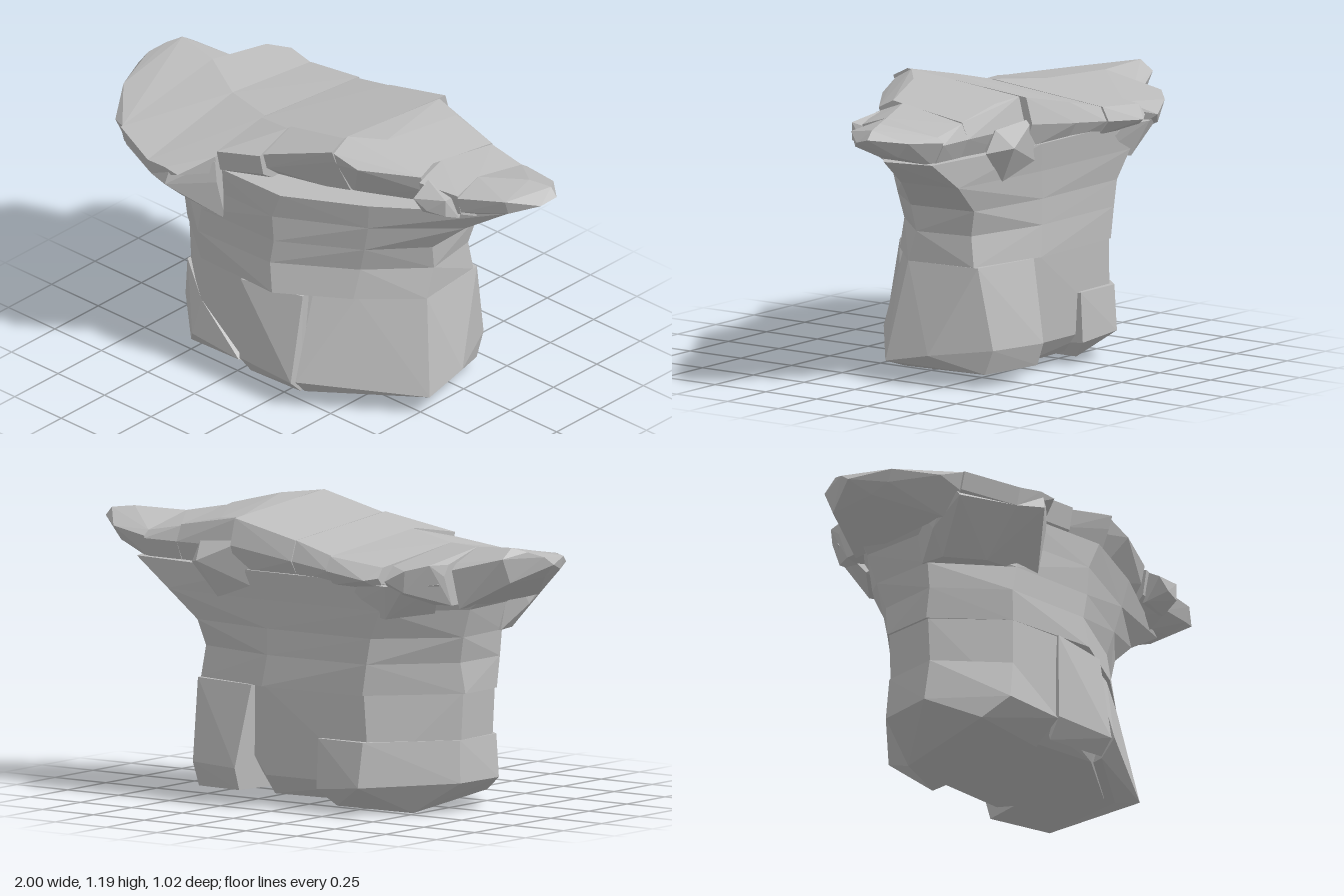
import * as THREE from 'three';
import { ConvexGeometry } from 'three/addons/geometries/ConvexGeometry.js';

// A weathered mushroom-shaped rock built from faceted convex chunks.
export function createModel() {
  const group = new THREE.Group();
  const stone = new THREE.MeshStandardMaterial({ color: 0xbcbcbc, flatShading: true });
  stone.name = 'grey stone';

  const chunk = (name, pts) => {
    const mesh = new THREE.Mesh(new ConvexGeometry(pts.map(p => new THREE.Vector3(...p))), stone);
    mesh.name = name;
    group.add(mesh);
  };
  // horizontal outline [x, z] lifted to height y
  const ring = (y, pts) => pts.map(([x, z]) => [x, y, z]);

  // Stacked strata of the neck, from the base seam up to the cap
  const strata = [
    [0.485, [[-0.67, -0.12], [-0.66, 0.10], [-0.39, 0.31], [0.0, 0.32], [0.27, 0.14], [0.48, -0.06], [0.45, -0.36], [0.10, -0.43], [-0.38, -0.41]]],
    [0.61, [[-0.66, -0.14], [-0.66, 0.12], [-0.40, 0.32], [-0.02, 0.31], [0.28, 0.11], [0.48, -0.10], [0.44, -0.34], [0.08, -0.42], [-0.40, -0.41]]],
    [0.715, [[-0.69, -0.16], [-0.67, 0.12], [-0.38, 0.32], [0.0, 0.31], [0.31, 0.12], [0.49, -0.08], [0.46, -0.37], [0.08, -0.42], [-0.42, -0.41]]],
    [0.83, [[-0.73, -0.17], [-0.70, 0.15], [-0.36, 0.32], [0.0, 0.32], [0.34, 0.13], [0.62, -0.13], [0.59, -0.39], [0.10, -0.43], [-0.48, -0.43]]],
    [0.945, [[-0.85, -0.14], [-0.80, 0.20], [-0.34, 0.33], [0.05, 0.325], [0.36, 0.15], [0.80, -0.18], [0.75, -0.38], [0.12, -0.45], [-0.54, -0.45]]],
  ];
  for (let i = 0; i < strata.length - 1; i++) {
    chunk('neckLayer' + (i + 1), [...ring(...strata[i]), ...ring(...strata[i + 1])]);
  }

  // Base: broad centre, with separate lobes around it
  chunk('baseCentre', [
    ...ring(0.49, [[-0.39, 0.31], [-0.165, 0.31], [0.10, 0.18], [0.44, -0.08], [0.43, -0.34], [0.10, -0.42], [-0.38, -0.40], [-0.66, -0.12], [-0.65, 0.10]]),
    ...ring(0.13, [[-0.39, 0.31], [-0.165, 0.31], [0.10, 0.26], [0.42, -0.02], [0.10, -0.40], [-0.40, -0.39], [-0.64, -0.12], [-0.63, 0.10]]),
    ...ring(0.05, [[-0.30, 0.20], [0.10, 0.22], [0.36, 0.0], [0.10, -0.34], [-0.40, -0.30]]),
  ]);
  chunk('baseLeftLobe', [
    ...ring(0.487, [[0.12, 0.21], [0.27, 0.12], [0.48, -0.06], [0.45, -0.38], [0.15, -0.43]]),
    [0.13, 0.13, 0.325], [0.55, 0.09, 0.0], [0.54, 0.13, -0.20], [0.43, 0.16, -0.44], [0.18, 0.16, -0.50],
    [0.12, 0.06, 0.26], [0.42, 0.05, 0.0], [0.43, 0.06, -0.40], [0.18, 0.07, -0.47],
  ]);
  chunk('baseRightLobe', [
    ...ring(0.30, [[-0.65, -0.13], [-0.65, 0.11], [-0.39, 0.31], [-0.17, -0.42], [-0.39, -0.42]]),
    [-0.67, 0.13, 0.10], [-0.66, 0.13, -0.14], [-0.42, 0.14, 0.33], [-0.17, 0.12, 0.33], [-0.50, 0.05, 0.25],
    [-0.17, 0.10, -0.43], [-0.38, 0.12, -0.44], [-0.48, 0.005, -0.21], [-0.22, 0.03, -0.36], [-0.17, 0.04, 0.20],
  ]);
  chunk('baseFrontPanel', [
    ...ring(0.485, [[-0.165, 0.325], [0.11, 0.26], [0, 0]]),
    [-0.165, 0.13, 0.33], [0.11, 0.12, 0.33], [-0.16, 0.05, 0.27], [0.11, 0.06, 0.27],
  ]);

  // Cap: slices across x, each spanning two cross-sections
  // [x, front z, front y, front lower y, crest z, crest y, back z, back y, underside y]
  const section = ([x, zf, yf, yl, zt, yt, zb, yb, yu]) => [
    [x, yf, zf], [x, yl, zf - 0.02], [x, yt, zt], [x, yt - 0.05, zb + 0.03],
    [x, yb, zb], [x, yu, zb + 0.05], [x, yu, zf - 0.12],
  ];
  const slices = [
    [[-0.92, 0.19, 1.02, 0.97, -0.15, 1.09, -0.21, 1.05, 0.95], [-0.73, 0.40, 0.99, 0.92, -0.12, 1.075, -0.29, 1.0, 0.84]],
    [[-0.73, 0.41, 0.99, 0.92, -0.12, 1.075, -0.34, 0.98, 0.86], [-0.51, 0.49, 0.96, 0.89, 0.0, 1.06, -0.41, 0.98, 0.86]],
    [[-0.51, 0.49, 0.96, 0.89, 0.0, 1.06, -0.48, 0.97, 0.91], [-0.26, 0.37, 1.02, 0.94, 0.08, 1.085, -0.49, 0.98, 0.92]],
    [[-0.26, 0.36, 1.04, 0.95, 0.10, 1.085, -0.48, 0.98, 0.91], [-0.075, 0.31, 1.07, 0.98, 0.15, 1.13, -0.465, 1.0, 0.91]],
    [[-0.075, 0.29, 1.07, 1.0, 0.13, 1.13, -0.47, 1.0, 0.92], [0.22, 0.21, 1.16, 1.11, 0.14, 1.195, -0.475, 1.04, 0.92]],
    [[0.22, 0.20, 1.15, 1.09, 0.12, 1.195, -0.44, 1.03, 0.92], [0.54, 0.04, 1.10, 1.03, -0.03, 1.135, -0.40, 1.02, 0.92]],
    [[0.54, 0.05, 1.08, 0.98, -0.08, 1.13, -0.40, 1.02, 0.91], [0.70, 0.0, 1.06, 0.97, -0.12, 1.10, -0.40, 1.02, 0.92]],
    [[0.70, 0.0, 1.05, 0.98, -0.12, 1.10, -0.40, 1.03, 0.93], [0.88, -0.08, 1.07, 1.01, -0.22, 1.115, -0.36, 1.05, 0.99]],
  ];
  // extra corners that round off some slices
  const extras = {
    0: [[-1, 1.01, 0.02], [-0.99, 1.045, -0.03], [-0.96, 1.07, -0.10], [-0.81, 0.97, 0.355]],
    1: [[-0.71, 1.03, -0.41], [-0.64, 1.01, -0.48], [-0.56, 0.965, -0.505], [-0.62, 0.92, -0.46]],
    2: [[-0.34, 0.96, 0.50], [-0.41, 0.97, 0.50], [-0.46, 0.96, -0.51]],
    5: [[0.34, 1.185, 0.02], [0.33, 1.11, 0.18], [0.34, 1.13, -0.38]],
    7: [[1, 1.07, -0.25], [0.98, 1.05, -0.18], [0.97, 1.105, -0.25]],
  };
  slices.forEach(([a, b], i) => chunk('capSlice' + (i + 1), [...section(a), ...section(b), ...(extras[i] || [])]));

  // Broken ledges under the rim
  chunk('frontBracketOuter', [
    ...ring(0.715, [[-0.68, 0.10], [-0.66, 0.20], [-0.51, 0.29], [-0.51, 0.0]]),
    [-0.73, 0.81, 0.22], [-0.73, 0.90, 0.38], [-0.51, 0.89, 0.47], [-0.75, 0.95, 0.35], [-0.51, 0.96, 0.2], [-0.73, 0.96, 0.1],
  ]);
  chunk('frontBracketInner', [
    ...ring(0.715, [[-0.51, 0.29], [-0.26, 0.31], [-0.26, 0.1], [-0.51, 0.1]]),
    [-0.51, 0.89, 0.47], [-0.40, 0.90, 0.51], [-0.39, 0.97, 0.49], [-0.26, 1.0, 0.37], [-0.26, 0.90, 0.36], [-0.51, 0.97, 0.2],
  ]);
  chunk('backBracket', [
    [-0.50, 0.80, -0.42], [-0.64, 0.82, -0.28], [-0.72, 0.95, -0.36], [-0.62, 0.94, -0.46],
    [-0.54, 0.94, -0.48], [-0.40, 0.94, -0.46], [-0.45, 0.96, -0.2], [-0.30, 0.83, -0.41],
  ]);
  chunk('backLedge', [
    [0.17, 1.06, -0.45], [0.40, 1.04, -0.43], [0.37, 0.97, -0.50], [0.18, 0.93, -0.44],
    [0.45, 0.95, -0.42], [0.33, 0.82, -0.41], [0.10, 0.86, -0.42], [0.30, 1.0, -0.30],
  ]);
  chunk('frontLedgeLeft', [
    [0.55, 0.95, 0.04], [0.56, 1.04, 0.105], [0.62, 1.0, 0.09], [0.69, 0.99, 0.06], [0.69, 1.06, 0.06],
    [0.56, 1.09, 0.02], [0.69, 0.95, -0.02], [0.62, 1.0, -0.15],
  ]);
  return group;
}
